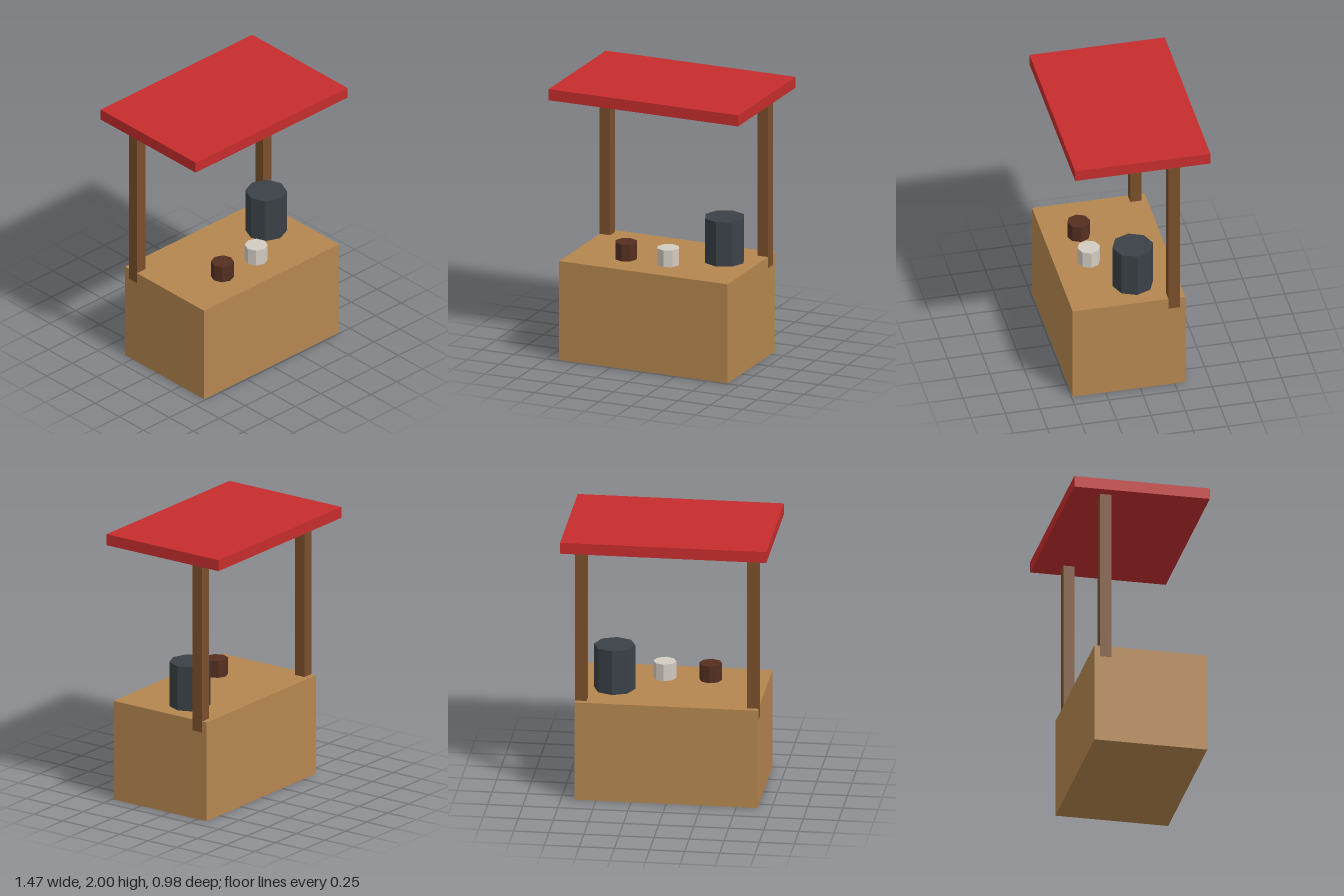
import * as THREE from 'three';

const paint = (name, color) => Object.assign(new THREE.MeshStandardMaterial({ color, flatShading: true }), { name });

export function createModel() {
  const group = new THREE.Group();
  group.name = 'marketStall';

  const wood = paint('light wood', 0xb5864f);
  const darkWood = paint('dark wood', 0x7b4f2b);
  const red = paint('canopy red', 0xc62d2d);
  const charcoal = paint('charcoal', 0x3a4147);
  const cream = paint('cream', 0xd2cbc1);
  const brown = paint('dark brown', 0x542f20);

  const add = (name, geometry, material, x, y, z) => {
    const mesh = new THREE.Mesh(geometry, material);
    mesh.name = name;
    mesh.position.set(x, y, z);
    group.add(mesh);
  };

  // Box and eight-sided drum, each placed by its base height
  const box = (name, mat, w, h, d, x, base, z) =>
    add(name, new THREE.BoxGeometry(w, h, d), mat, x, base + h / 2, z);
  const drum = (name, mat, r, h, x, base, z) =>
    add(name, new THREE.CylinderGeometry(r, r, h, 8), mat, x, base + h / 2, z);

  // Counter and flat canopy
  box('counter', wood, 1.306, 0.735, 0.816, 0, 0, 0.082);
  box('canopy', red, 1.47, 0.082, 0.98, 0, 1.918, 0);

  // Rear posts, let slightly into the counter sides
  for (const [name, side] of [['leftPost', 1], ['rightPost', -1]]) {
    box(name, darkWood, 0.082, 1.28, 0.082, side * 0.613, 0.653, -0.245);
  }

  // Urn and cups on the counter
  drum('urn', charcoal, 0.147, 0.329, 0.408, 0.735, 0);
  drum('creamCup', cream, 0.0816, 0.124, 0.082, 0.739, 0.245);
  drum('brownCup', brown, 0.0816, 0.124, -0.245, 0.739, 0.245);

  return group;
}
